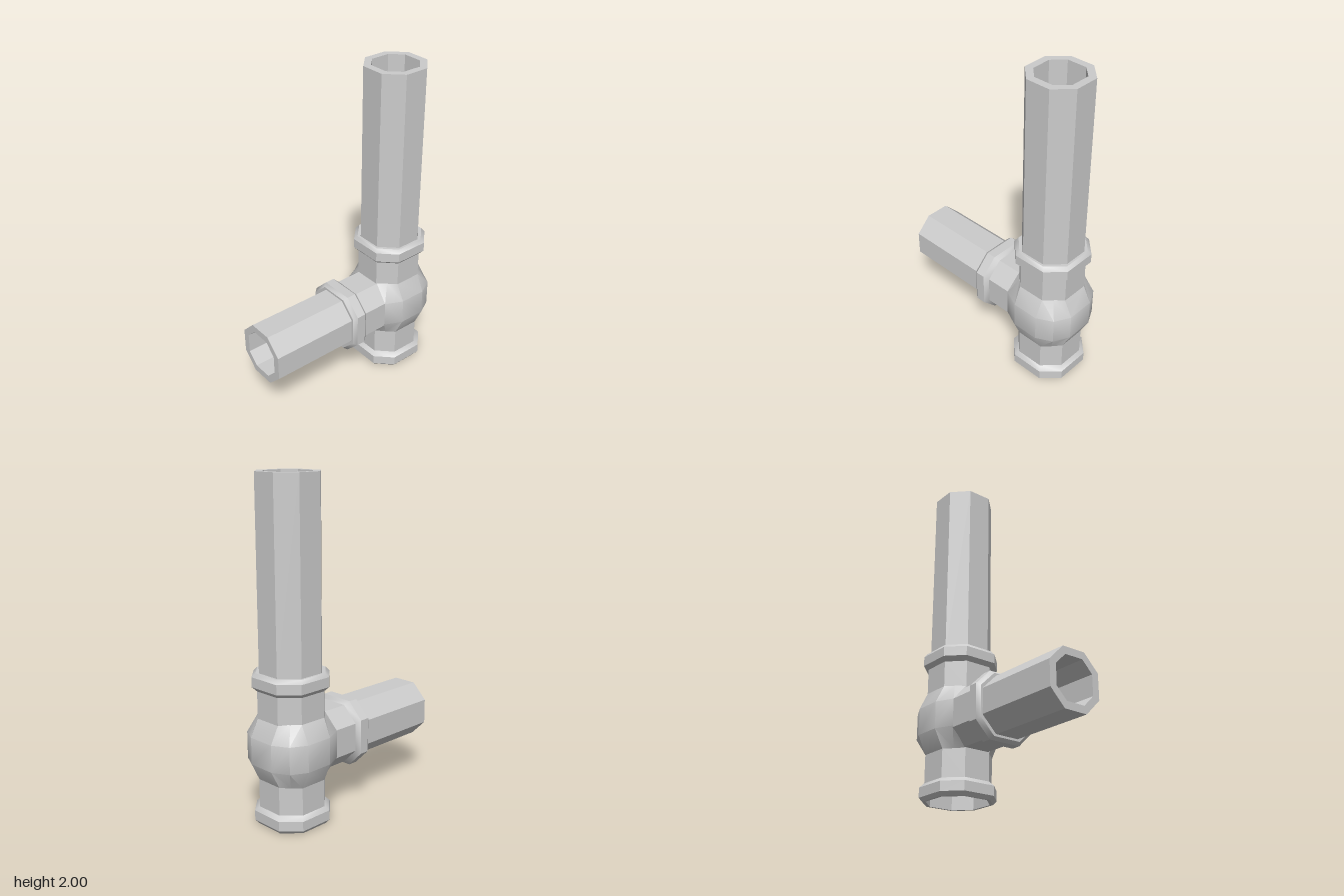
import * as THREE from 'three';
import { toCreasedNormals } from 'three/addons/utils/BufferGeometryUtils.js';

const material = new THREE.MeshStandardMaterial({ color: 0xcccccc, side: THREE.DoubleSide });
const AXIS_Z = -0.38;    // depth of the upright run
const BRANCH_Y = 0.457;  // height of the branch

// Mirrors right-half points [x, z] (back to front) into a closed ring at height y.
function ring(half, y) {
  const left = half.map(([x, z]) => [-x, z]).reverse();
  return [...half, ...left].map(([x, z]) => [x, y, z]);
}

// Octagon with half width r and half flat f.
const octagon = (r, f, y) => ring([[f, -r], [r, -f], [r, f], [f, r]], y);

// Skins a stack of rings; skip() can leave an opening.
function loft(name, rings, skip = () => false) {
  const pos = [];
  const n = rings[0].length;
  for (let i = 0; i < rings.length - 1; i++) {
    for (let j = 0; j < n; j++) {
      const k = (j + 1) % n;
      const a = rings[i][j], b = rings[i][k], c = rings[i + 1][j], d = rings[i + 1][k];
      const tris = (i === 0) === (j < n / 2)
        ? [[a, c, b], [b, c, d]]
        : [[a, c, d], [a, d, b]];
      for (const t of tris) if (!skip(t)) pos.push(...t.flat());
    }
  }
  const geo = new THREE.BufferGeometry();
  geo.setAttribute('position', new THREE.Float32BufferAttribute(pos, 3));
  geo.computeVertexNormals();
  const mesh = new THREE.Mesh(toCreasedNormals(geo, 0.6), material);
  mesh.name = name;
  return mesh;
}

// Hollow octagonal pipe with closed rims.
function pipe(name, y0, y1) {
  const outer = [0.17, 0.075], inner = [0.127, 0.06];
  return loft(name, [
    octagon(...inner, y0), octagon(...outer, y0), octagon(...outer, y1),
    octagon(...inner, y1), octagon(...inner, y0),
  ]);
}

// Neck of the fitting running from y = 0 up to a chamfered collar and its socket.
function neck(name, length) {
  return loft(name, [
    octagon(0.178, 0.085, 0),
    octagon(0.178, 0.085, length - 0.105),
    octagon(0.2, 0.104, length - 0.08),
    octagon(0.2, 0.104, length - 0.022),
    octagon(0.183, 0.09, length),
    octagon(0.169, 0.078, length),
    octagon(0.169, 0.078, 0),
  ]);
}

export function createModel() {
  const model = new THREE.Group();
  model.name = 'pipeTee';

  // Swollen body, open at the front where the branch joins
  const narrow = [[0.085, -0.555], [0.133, -0.511], [0.178, -0.465],
    [0.178, -0.295], [0.133, -0.249], [0.085, -0.205]];
  const wide = [[0.085, -0.61], [0.18, -0.56], [0.23, -0.465],
    [0.23, -0.3], [0.18, -0.195], [0.085, -0.195]];
  model.add(loft('teeBody',
    [ring(narrow, 0.27), ring(wide, 0.38), ring(wide, 0.54), ring(narrow, 0.645)],
    (tri) => tri.every((p) => p[2] > -0.21)));

  // Upper and lower necks with collars
  const upperNeck = neck('upperNeck', 0.265);
  upperNeck.position.set(0, 0.64, AXIS_Z);
  const lowerNeck = neck('lowerNeck', 0.275);
  lowerNeck.rotation.x = Math.PI;
  lowerNeck.position.set(0, 0.275, AXIS_Z);

  // Upright pipe
  const uprightPipe = pipe('uprightPipe', 0.86, 2);
  uprightPipe.position.z = AXIS_Z;
  model.add(upperNeck, lowerNeck, uprightPipe);

  // Branch: neck and pipe turned to face the front
  const branch = new THREE.Group();
  branch.name = 'branch';
  const branchNeck = neck('branchNeck', 0.3);
  branchNeck.position.y = -0.235;
  branch.add(branchNeck, pipe('branchPipe', 0.02, 0.61));
  branch.rotation.x = Math.PI / 2;
  branch.position.y = BRANCH_Y;
  model.add(branch);

  return model;
}
